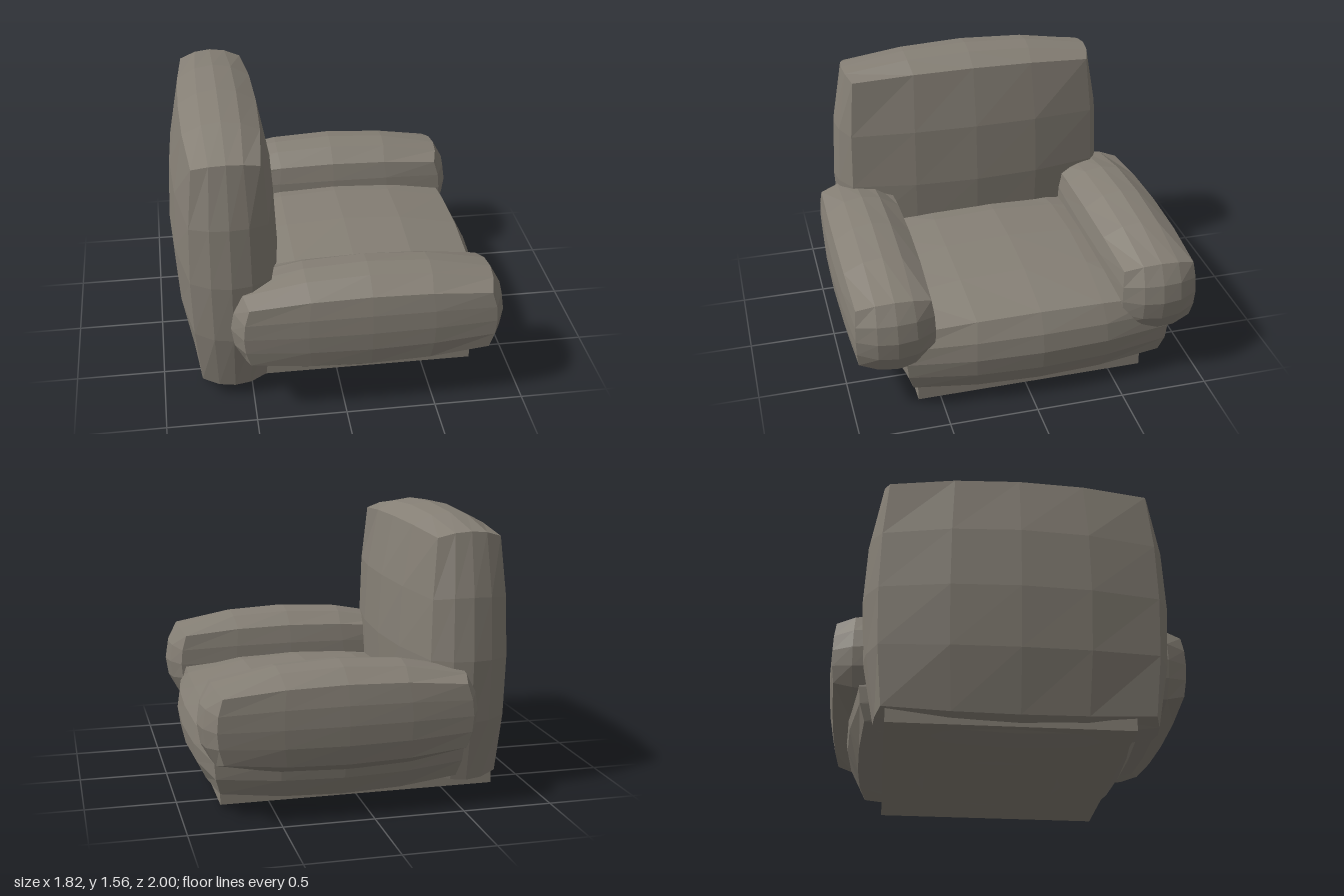
import * as THREE from 'three';

const fabric = new THREE.MeshStandardMaterial({ color: 0x857f75, flatShading: true });
fabric.name = 'taupe fabric';

// Pillow: a 4x4x4 box whose outer layer (thickness r per axis) is rounded towards a sphere.
function cushion(name, center, half, r) {
  const g = new THREE.BoxGeometry(2, 2, 2, 4, 4, 4);
  const p = g.attributes.position;
  for (let i = 0; i < p.count; i++) {
    const c = [p.getX(i), p.getY(i), p.getZ(i)];
    const q = c.map((v, k) => {
      const a = c[(k + 1) % 3] ** 2, b = c[(k + 2) % 3] ** 2;
      const round = v * Math.sqrt(1 - a / 2 - b / 2 + (a * b) / 3);
      return v * (half[k] - r[k]) + round * r[k];
    });
    p.setXYZ(i, ...q);
  }
  g.computeVertexNormals();
  const mesh = new THREE.Mesh(g, fabric);
  mesh.name = name;
  mesh.position.set(...center);
  return mesh;
}

export function createModel() {
  const chair = new THREE.Group();
  chair.name = 'armchair';

  // Backrest and seat
  chair.add(cushion('backrest', [-0.603, 0.782, 0.02], [0.307, 0.782, 0.842], [0.3, 0.27, 0.29]));
  chair.add(cushion('seat', [0.135, 0.313, -0.06], [0.77, 0.31, 0.84], [0.26, 0.3, 0.28]));

  // Armrests on both sides
  for (const side of [1, -1]) {
    chair.add(cushion(side > 0 ? 'frontArmrest' : 'rearArmrest',
      [0.138, 0.522, side * 0.752], [0.77, 0.308, 0.248], [0.26, 0.31, 0.1]));
  }

  // Flat base under the seat
  const base = new THREE.Mesh(new THREE.BoxGeometry(1.555, 0.16, 1.31), fabric);
  base.name = 'base';
  base.position.set(0.003, 0.11, -0.021);
  chair.add(base);

  return chair;
}
